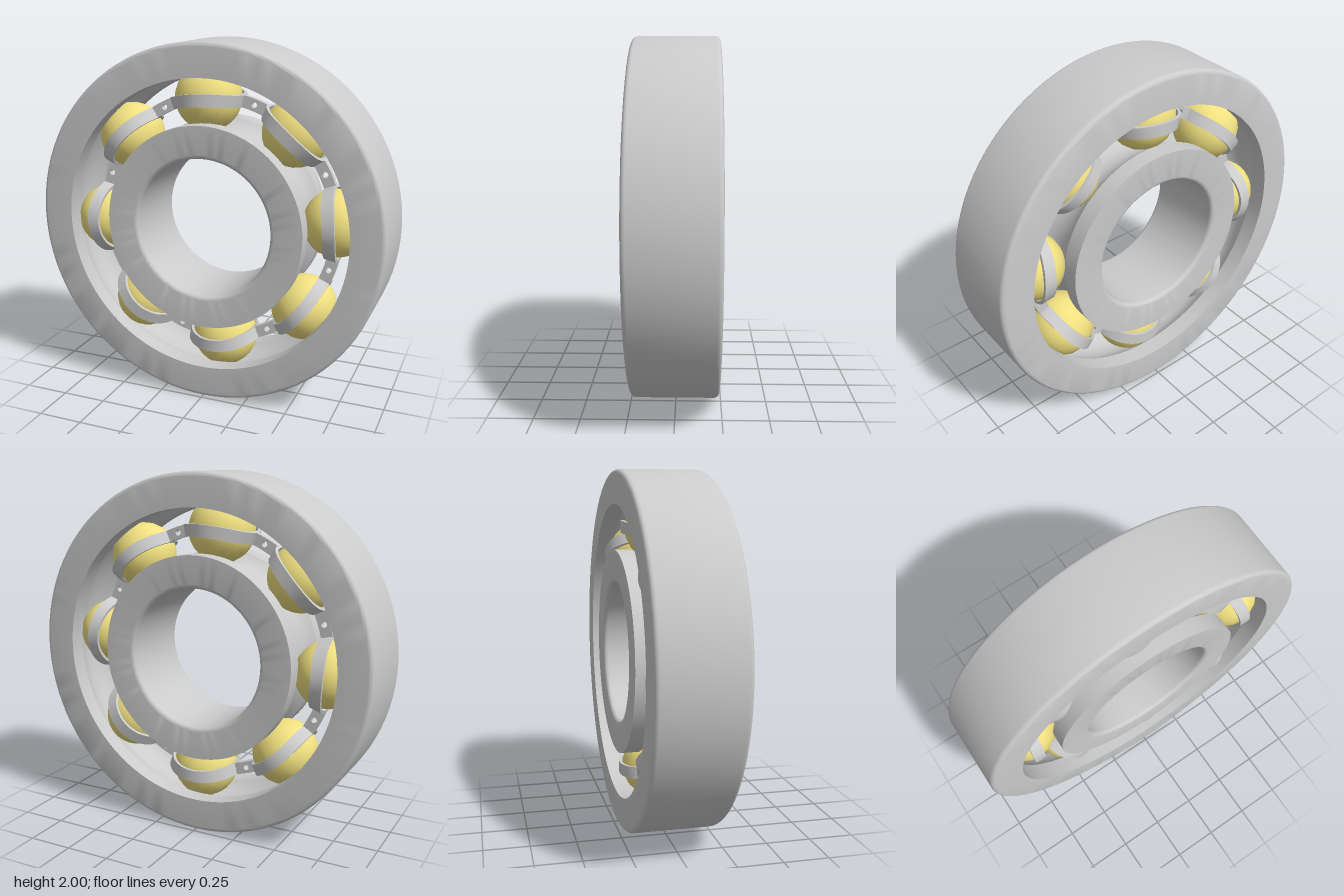
import * as THREE from 'three';
import { toCreasedNormals } from 'three/addons/utils/BufferGeometryUtils.js';

const BALLS = 8, OFFSET = 0.074;           // count and rotation of the ball set
const PITCH = 0.69, BALL_R = 0.185;        // pitch circle and ball radius
const HALF_W = 0.235, FILLET = 0.025;      // ring half width and edge rounding
const CAGE_IN = 0.66, CAGE_OUT = 0.727, POCKET_IN = 0.188, POCKET_OUT = 0.205;
const STEP = Math.PI * 2 / BALLS;

const grey = new THREE.MeshStandardMaterial({ color: 0xcccccc });
const yellow = new THREE.MeshStandardMaterial({ color: 0xf0e080 });

// Points (radius, axial) along an arc
function arc(cx, cy, r, from, to, n) {
  const pts = [];
  for (let i = 0; i <= n; i++) {
    const a = from + (to - from) * i / n;
    pts.push(new THREE.Vector2(cx + r * Math.cos(a), cy + r * Math.sin(a)));
  }
  return pts;
}

// Closed profile turned around the z axis
function turned(name, pts) {
  const geo = new THREE.LatheGeometry([...pts, pts[0].clone()], 96);
  geo.rotateX(Math.PI / 2);
  const mesh = new THREE.Mesh(toCreasedNormals(geo, 0.5), grey);
  mesh.name = name;
  return mesh;
}

function outerRing() {
  const lip = 0.815, g = Math.acos((lip - PITCH) / BALL_R), y = HALF_W - FILLET;
  return turned('outerRing', [
    ...arc(1 - FILLET, -y, FILLET, -Math.PI / 2, 0, 5),
    ...arc(1 - FILLET, y, FILLET, 0, Math.PI / 2, 5),
    new THREE.Vector2(lip, HALF_W),
    ...arc(PITCH, 0, BALL_R + 0.001, g, -g, 14),
    new THREE.Vector2(lip, -HALF_W),
  ]);
}

function innerRing() {
  const lip = 0.567, bore = 0.387, y = HALF_W - FILLET;
  const g = Math.acos((PITCH - lip) / BALL_R);
  return turned('innerRing', [
    new THREE.Vector2(lip, -HALF_W),
    ...arc(PITCH, 0, BALL_R + 0.001, Math.PI + g, Math.PI - g, 14),
    new THREE.Vector2(lip, HALF_W),
    ...arc(bore + FILLET, y, FILLET, Math.PI / 2, Math.PI, 5),
    ...arc(bore + FILLET, -y, FILLET, Math.PI, Math.PI * 1.5, 5),
  ]);
}

// Arched strip over one ball, centred on angle 0
function pocketGeometry() {
  const n = 24, pos = [], idx = [];
  const corners = [[CAGE_IN, POCKET_IN], [CAGE_OUT, POCKET_IN], [CAGE_OUT, POCKET_OUT], [CAGE_IN, POCKET_OUT]];
  for (let i = 0; i <= n; i++) {
    const phi = Math.PI * i / n;
    for (const [r, R] of corners) {
      const a = R * Math.cos(phi) / PITCH;
      pos.push(r * Math.cos(a), r * Math.sin(a), R * Math.sin(phi));
    }
    if (i === n) continue;
    for (let k = 0; k < 4; k++) {
      const a = i * 4 + k, b = i * 4 + (k + 1) % 4;
      idx.push(a, b, a + 4, b, b + 4, a + 4);
    }
  }
  idx.push(0, 2, 1, 0, 3, 2);
  const e = n * 4;
  idx.push(e, e + 1, e + 2, e, e + 2, e + 3);
  const geo = new THREE.BufferGeometry();
  geo.setAttribute('position', new THREE.Float32BufferAttribute(pos, 3));
  geo.setIndex(idx);
  return toCreasedNormals(geo, 0.6);
}

// Flat web between two pockets with a rivet hole, centred on angle 0
function webGeometry() {
  const half = STEP / 2 - POCKET_IN / PITCH;
  const shape = new THREE.Shape();
  shape.absarc(0, 0, CAGE_OUT, -half, half, false);
  shape.absarc(0, 0, CAGE_IN, half, -half, true);
  shape.closePath();
  const hole = new THREE.Path();
  hole.absarc(0.694, 0, 0.016, 0, Math.PI * 2, true);
  shape.holes.push(hole);
  return new THREE.ExtrudeGeometry(shape, { depth: 0.018, bevelEnabled: false, curveSegments: 12 });
}

function cageHalf(name, pocketGeo, webGeo) {
  const half = new THREE.Group();
  half.name = name;
  for (let i = 0; i < BALLS; i++) {
    const pocket = new THREE.Mesh(pocketGeo, cageMaterial);
    pocket.name = 'cagePocket';
    pocket.rotation.z = OFFSET + i * STEP;
    const web = new THREE.Mesh(webGeo, cageMaterial);
    web.name = 'cageWeb';
    web.rotation.z = OFFSET + (i + 0.5) * STEP;
    half.add(pocket, web);
  }
  return half;
}
const cageMaterial = new THREE.MeshStandardMaterial({ color: 0xcccccc, side: THREE.DoubleSide });

export function createModel() {
  const model = new THREE.Group();
  model.name = 'ballBearing';
  const bearing = new THREE.Group();
  bearing.name = 'bearing';
  bearing.position.y = 1;
  model.add(bearing);

  bearing.add(outerRing(), innerRing());

  // Rolling balls
  const ballGeo = new THREE.SphereGeometry(BALL_R, 20, 14);
  for (let i = 0; i < BALLS; i++) {
    const a = OFFSET + i * STEP;
    const ball = new THREE.Mesh(ballGeo, yellow);
    ball.name = 'ball';
    ball.position.set(PITCH * Math.cos(a), PITCH * Math.sin(a), 0);
    ball.rotation.z = a;
    bearing.add(ball);
  }

  // Two cage halves, the back one mirrored in z
  const pocketGeo = pocketGeometry(), webGeo = webGeometry();
  const front = cageHalf('frontCage', pocketGeo, webGeo);
  const back = cageHalf('backCage', pocketGeo, webGeo);
  back.scale.z = -1;
  bearing.add(front, back);
  return model;
}
